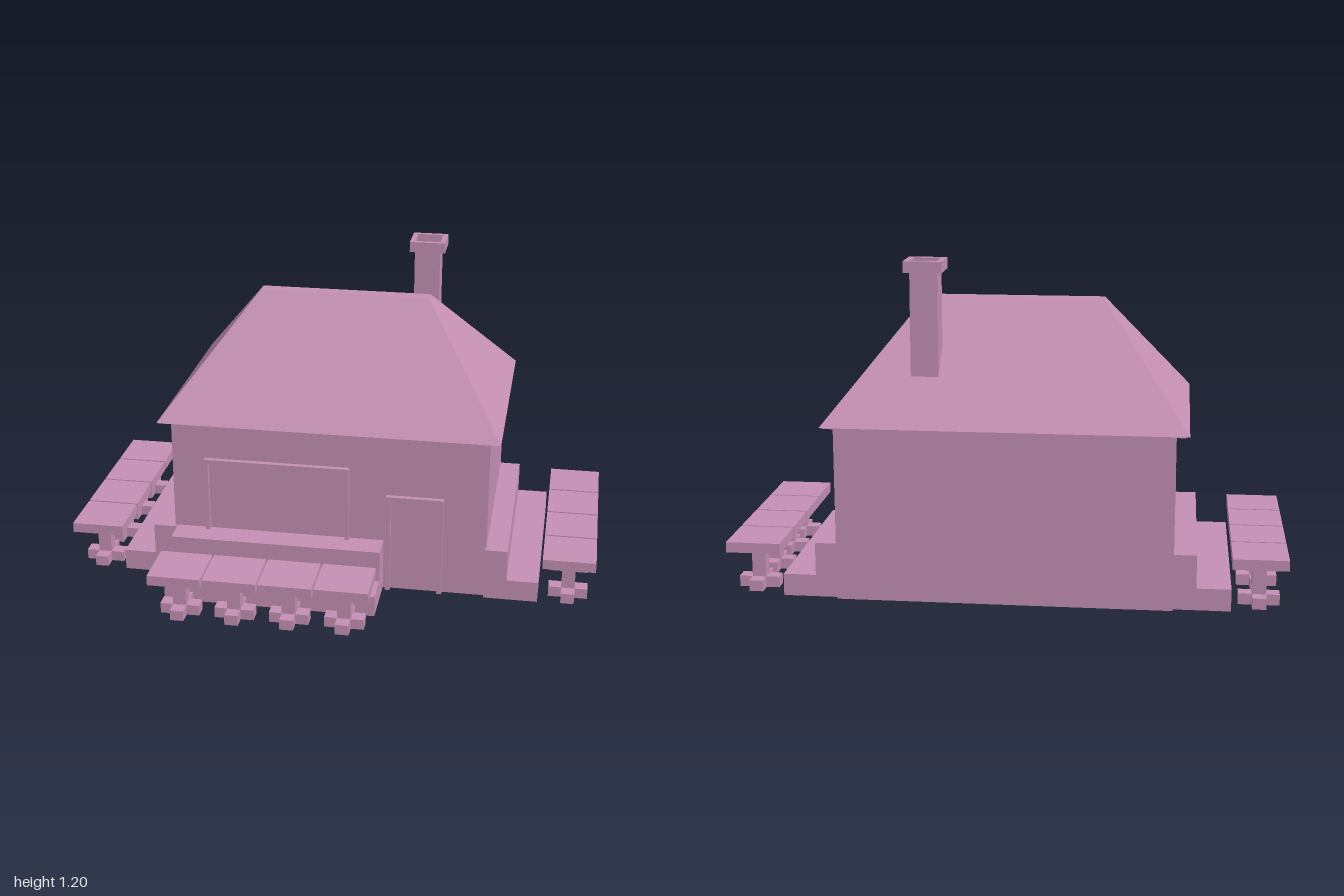
import * as THREE from 'three';

export function createModel() {
  const model = new THREE.Group();
  model.name = 'cottageCafe';
  const mauve = new THREE.MeshStandardMaterial({ color: 0xc48fb3 });
  mauve.name = 'mauve';

  // Box given by its limits on each axis
  function box(parent, name, x0, x1, y0, y1, z0, z1) {
    const mesh = new THREE.Mesh(new THREE.BoxGeometry(x1 - x0, y1 - y0, z1 - z0), mauve);
    mesh.position.set((x0 + x1) / 2, (y0 + y1) / 2, (z0 + z1) / 2);
    mesh.name = name;
    parent.add(mesh);
    return mesh;
  }

  function group(name) {
    const g = new THREE.Group();
    g.name = name;
    model.add(g);
    return g;
  }

  box(model, 'walls', -0.6, 0.592, 0, 0.634, -0.572, 0.22);

  // Hipped roof: the upper corners of a box drawn in to a narrow ridge
  const roof = box(model, 'roof', -0.645, 0.632, 0.636, 1.04, -0.615, 0.26);
  const p = roof.geometry.attributes.position;
  for (let i = 0; i < p.count; i++) {
    if (p.getY(i) > 0) {
      p.setX(i, Math.sign(p.getX(i)) * 0.323);
      p.setZ(i, Math.sign(p.getZ(i)) * 0.026);
    }
  }
  roof.geometry.computeVertexNormals();
  box(model, 'eaveBoard', -0.632, 0.62, 0.63, 0.637, -0.602, 0.248);

  // Chimney with an open cap
  const chimney = group('chimney');
  box(chimney, 'chimneyShaft', 0.236, 0.334, 0.72, 1.162, -0.456, -0.358);
  box(chimney, 'capLeft', 0.334, 0.354, 1.16, 1.2, -0.474, -0.34);
  box(chimney, 'capRight', 0.218, 0.236, 1.16, 1.2, -0.474, -0.34);
  box(chimney, 'capFront', 0.236, 0.334, 1.16, 1.2, -0.358, -0.34);
  box(chimney, 'capBack', 0.236, 0.334, 1.16, 1.2, -0.474, -0.456);

  // Frames standing proud of the front wall
  function frame(name, x0, x1, y0, y1, t) {
    const g = group(name);
    box(g, name + 'RightPost', x0, x0 + t, y0, y1, 0.21, 0.24);
    box(g, name + 'LeftPost', x1 - t, x1, y0, y1, 0.21, 0.24);
    box(g, name + 'Lintel', x0 + t, x1 - t, y1 - t, y1, 0.21, 0.24);
  }
  frame('windowFrame', -0.475, 0.075, 0.19, 0.49, 0.015);
  frame('doorFrame', 0.215, 0.43, 0, 0.39, 0.018);

  // Two-step benches along three walls
  const frontBench = group('frontBench');
  box(frontBench, 'benchBack', -0.59, 0.205, 0, 0.2, 0.215, 0.322);
  box(frontBench, 'benchSeat', -0.59, 0.205, 0, 0.08, 0.322, 0.442);
  const leftBench = group('leftBench');
  box(leftBench, 'benchBack', 0.588, 0.672, 0, 0.2, -0.555, 0.237);
  box(leftBench, 'benchSeat', 0.672, 0.79, 0, 0.08, -0.555, 0.237);
  const rightBench = group('rightBench');
  box(rightBench, 'benchBack', -0.68, -0.595, 0, 0.2, -0.555, 0.237);
  box(rightBench, 'benchSeat', -0.802, -0.68, 0, 0.08, -0.555, 0.237);

  // Small square table on a post with a cross-shaped foot
  function table(x, z) {
    const g = group('table');
    g.position.set(x, 0, z);
    box(g, 'tableTop', -0.098, 0.098, 0.152, 0.19, -0.098, 0.098);
    box(g, 'tablePost', -0.025, 0.025, 0.04, 0.152, -0.025, 0.025);
    box(g, 'footBar', -0.073, 0.073, 0, 0.04, -0.025, 0.025);
    for (const s of [-1, 1]) {
      box(g, 'footArm', -0.025, 0.025, 0, 0.04, s * 0.049 - 0.024, s * 0.049 + 0.024);
    }
  }
  for (let i = 0; i < 4; i++) {
    const step = i * 0.204;
    table(-0.504 + step, 0.519);
    table(0.901, -0.453 + step);
    table(-0.901, -0.453 + step);
  }
  return model;
}
